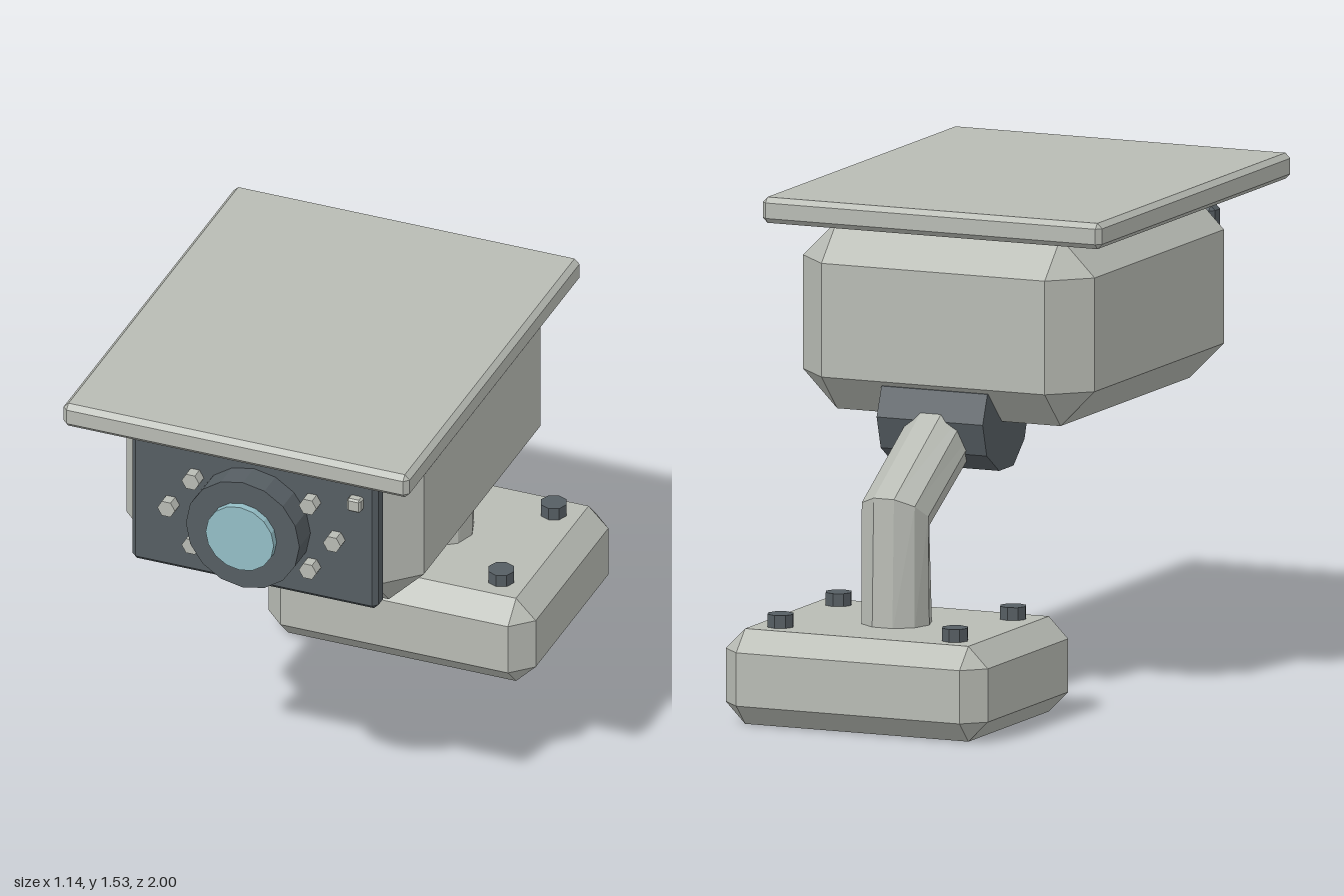
import * as THREE from 'three';
import { ConvexGeometry } from 'three/addons/geometries/ConvexGeometry.js';

const flat = (name, color) => {
  const m = new THREE.MeshStandardMaterial({ color, flatShading: true });
  m.name = name;
  return m;
};

// Box between two corners with every edge cut at 45 degrees
function chamferBox([x0, y0, z0], [x1, y1, z1], c) {
  const half = [(x1 - x0) / 2, (y1 - y0) / 2, (z1 - z0) / 2];
  const points = [];
  for (const sx of [-1, 1]) for (const sy of [-1, 1]) for (const sz of [-1, 1])
    for (let axis = 0; axis < 3; axis++) {
      const p = half.map((h, i) => (i === axis ? h : h - c));
      points.push(new THREE.Vector3(p[0] * sx, p[1] * sy, p[2] * sz));
    }
  return new ConvexGeometry(points).translate((x0 + x1) / 2, (y0 + y1) / 2, (z0 + z1) / 2);
}

// Cylinder facing +z, from z0 to z1
function disc(r, z0, z1, sides) {
  return new THREE.CylinderGeometry(r, r, z1 - z0, sides)
    .rotateX(Math.PI / 2).translate(0, 0, (z0 + z1) / 2);
}

// Ten-sided tube through rings [y, z, tilt]; tilt 0 is a level ring
function ringTube(rings, r, sides = 10) {
  const pos = [], index = [];
  for (const [y, z, tilt] of rings)
    for (let i = 0; i < sides; i++) {
      const a = (i / sides) * Math.PI * 2, s = r * Math.sin(a);
      pos.push(r * Math.cos(a), y - s * Math.sin(tilt), z + s * Math.cos(tilt));
    }
  for (let k = 0; k < rings.length - 1; k++)
    for (let i = 0; i < sides; i++) {
      const a = k * sides + i, b = k * sides + (i + 1) % sides;
      index.push(a, a + sides, b, b, a + sides, b + sides);
    }
  const g = new THREE.BufferGeometry();
  g.setAttribute('position', new THREE.Float32BufferAttribute(pos, 3));
  g.setIndex(index);
  const out = g.toNonIndexed();
  out.computeVertexNormals();
  return out;
}

export function createModel() {
  const model = new THREE.Group();
  model.name = 'securityCamera';
  const shell = flat('shellGrey', 0xb8bbb4);
  const dark = flat('darkSlate', 0x565e63);
  const glass = flat('lensBlue', 0x94bec6);

  const add = (name, geometry, material, x = 0, y = 0, z = 0) => {
    const mesh = new THREE.Mesh(geometry, material);
    mesh.name = name;
    mesh.position.set(x, y, z);
    model.add(mesh);
  };

  // Base with four bolts
  add('base', chamferBox([-0.44, 0, -1], [0.44, 0.295, -0.285], 0.065), shell);
  for (const x of [-0.293, 0.293]) for (const z of [-0.855, -0.432])
    add('baseBolt', new THREE.CylinderGeometry(0.042, 0.042, 0.05, 8), dark, x, 0.31, z);

  // Bent arm
  const armMaterial = shell.clone();
  armMaterial.side = THREE.DoubleSide;
  add('arm', ringTube([[0.28, -0.645, 0], [0.632, -0.653, 0.617], [0.875, -0.24, 1.037]], 0.11), armMaterial);

  // Swivel mount under the body
  const profile = [[-0.07, 0.88], [-0.1, 0.79], [-0.18, 0.72], [-0.285, 0.72],
    [-0.375, 0.78], [-0.405, 0.88], [-0.37, 0.97], [-0.2, 0.99]];
  const mount = [];
  for (const [z, y] of profile) for (const x of [-0.178, 0.178]) mount.push(new THREE.Vector3(x, y, z));
  add('swivelMount', new ConvexGeometry(mount), dark);

  // Body, sun roof and front plate
  add('body', chamferBox([-0.49, 0.87, -0.38], [0.49, 1.452, 0.79], 0.115), shell);
  add('roof', chamferBox([-0.57, 1.45, -0.4], [0.57, 1.53, 1], 0.016), shell);
  add('frontPlate', chamferBox([-0.405, 0.93, 0.78], [0.405, 1.385, 0.847], 0.015), dark);

  // Lens
  add('lensBarrel', disc(0.187, 0.83, 0.936, 16), dark, 0, 1.16);
  add('lens', disc(0.112, 0.92, 0.96, 16), glass, 0, 1.16);

  // Infrared lamps around the lens and a small light sensor
  for (const side of [-1, 1])
    for (const [x, y] of [[0.193, 1.275], [0.273, 1.16], [0.193, 1.045]])
      add('lamp', disc(0.029, 0.83, 0.885, 6).rotateZ(Math.PI / 6), shell, side * x, y);
  add('sensor', chamferBox([0.317, 1.283, 0.83], [0.362, 1.328, 0.875], 0.006), shell);

  return model;
}
